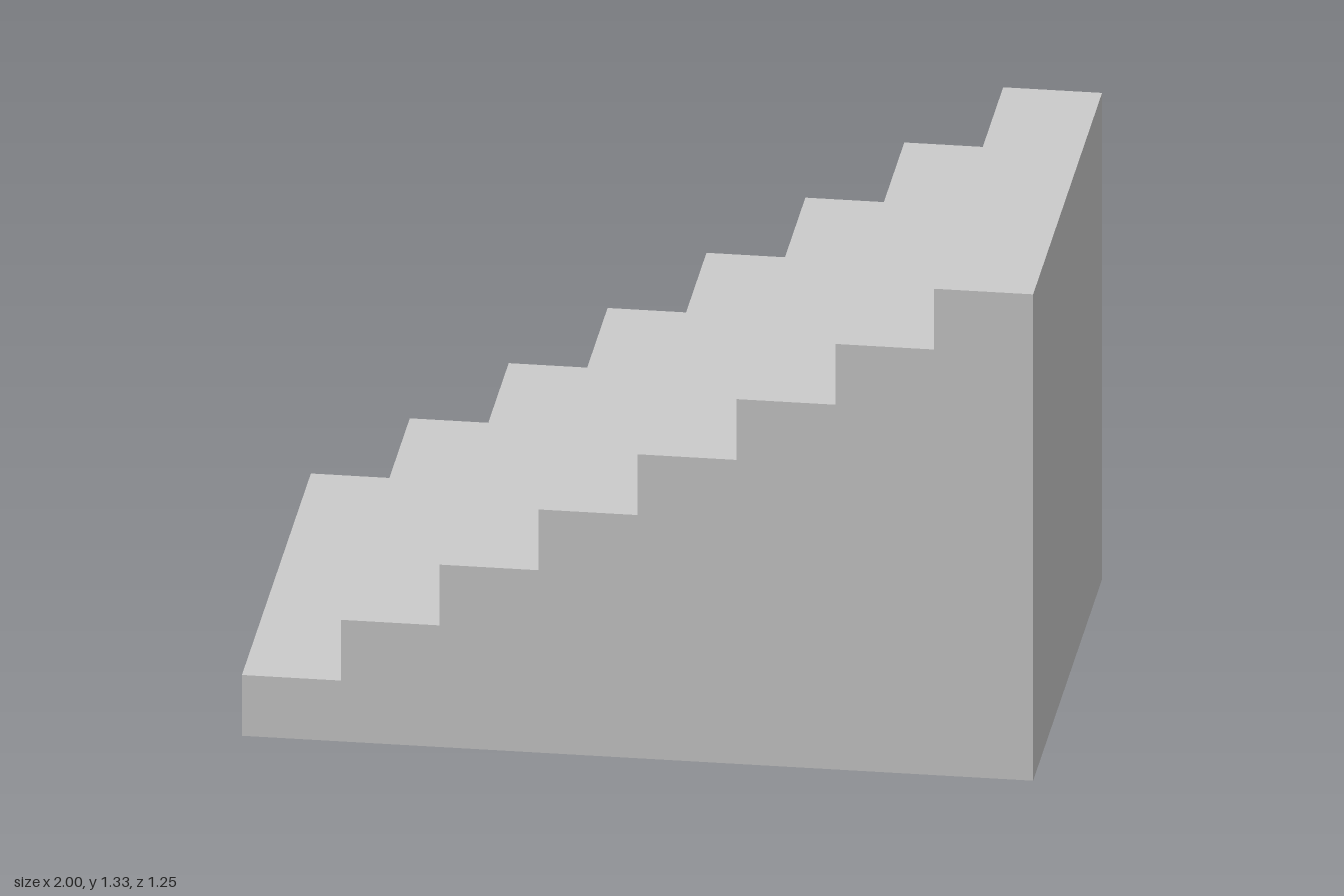
import * as THREE from 'three';

const STEPS = 8;
const LENGTH = 2;
const HEIGHT = 4 / 3;
const WIDTH = 1.25;

export function createModel() {
  const group = new THREE.Group();
  group.name = 'staircase';

  // Stepped side profile, rising from -x to +x
  const run = LENGTH / STEPS;
  const rise = HEIGHT / STEPS;
  const profile = new THREE.Shape();
  profile.moveTo(-LENGTH / 2, 0);
  profile.lineTo(LENGTH / 2, 0);
  for (let i = STEPS; i > 0; i--) {
    profile.lineTo(-LENGTH / 2 + i * run, i * rise);
    profile.lineTo(-LENGTH / 2 + (i - 1) * run, i * rise);
  }
  profile.closePath();

  // Solid flight of steps, extruded across its width
  const geometry = new THREE.ExtrudeGeometry(profile, { depth: WIDTH, bevelEnabled: false });
  geometry.translate(0, 0, -WIDTH / 2);
  const stairs = new THREE.Mesh(
    geometry,
    new THREE.MeshStandardMaterial({ color: 0xcccccc, flatShading: true })
  );
  stairs.name = 'steps';
  group.add(stairs);

  return group;
}
